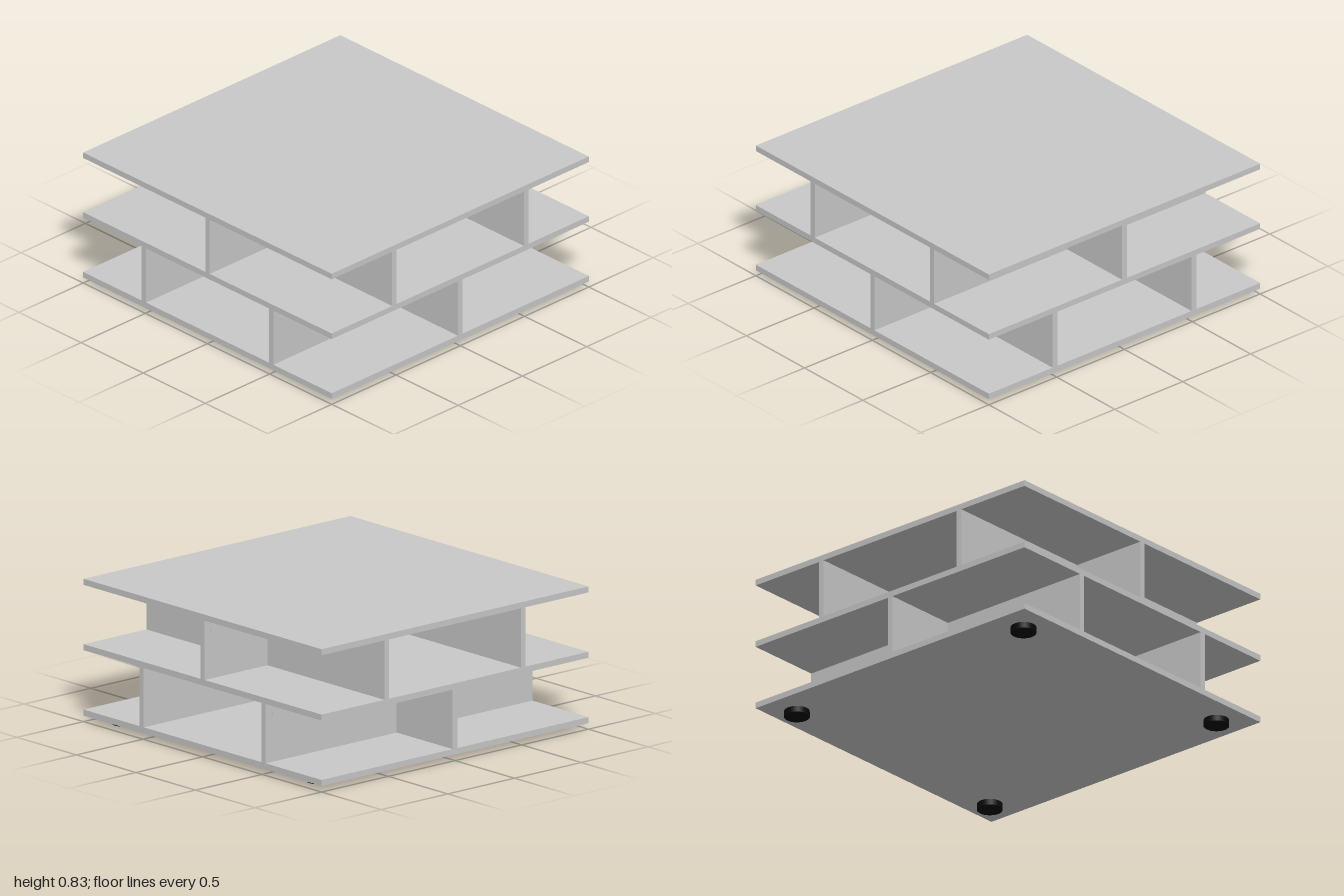
import * as THREE from 'three';

const T = 0.035;        // board thickness
const TIER = 0.344;     // clear height between shelves
const OFFSET = 0.512;   // position of the paired dividers
const LENGTH = 1 - T / 2;

export function createModel() {
  const group = new THREE.Group();
  const board = new THREE.MeshStandardMaterial({ color: 0xc8c8c8 });
  board.name = 'light grey board';
  const rubber = new THREE.MeshStandardMaterial({ color: 0x0a0a0a });
  rubber.name = 'black foot';

  const box = (parent, name, size, pos) => {
    const mesh = new THREE.Mesh(new THREE.BoxGeometry(...size), board);
    mesh.name = name;
    mesh.position.set(...pos);
    parent.add(mesh);
    return mesh;
  };

  // three square shelves
  ['bottomShelf', 'middleShelf', 'topShelf'].forEach((name, i) =>
    box(group, name, [2, T, 2], [0, T * 1.5 + i * (TIER + T), 0]));

  // tier of upright dividers: a split centre wall along z, crossed by pairs along x
  const addTier = (name, y, alongX) => {
    const tier = new THREE.Group();
    tier.name = name;
    tier.position.y = y + TIER / 2;
    for (const s of [-1, 1]) {
      const mid = s * (1 + T / 2) / 2;
      box(tier, 'centreDivider', alongX ? [LENGTH, TIER, T] : [T, TIER, LENGTH],
        alongX ? [mid, 0, 0] : [0, 0, mid]);
      for (const side of [-1, 1]) {
        box(tier, 'sideDivider', alongX ? [T, TIER, LENGTH] : [LENGTH, TIER, T],
          alongX ? [side * OFFSET, 0, mid] : [mid, 0, side * OFFSET]);
      }
      // tiny cross-shaped fittings near the top corners of one divider
      const x = s * ((alongX ? OFFSET : 0) + T / 2 + 0.002);
      for (const z of [0.08, 0.945]) {
        box(tier, 'fittingBar', [0.004, 0.006, 0.022], [x, 0.106, s * z]);
        box(tier, 'fittingPost', [0.004, 0.022, 0.006], [x, 0.106, s * z]);
      }
    }
    group.add(tier);
  };
  addTier('lowerDividers', 2 * T, true);
  addTier('upperDividers', 3 * T + TIER, false);

  // round feet
  for (const x of [-0.818, 0.818]) {
    for (const z of [-0.853, 0.833]) {
      const foot = new THREE.Mesh(new THREE.CylinderGeometry(0.072, 0.072, T, 32), rubber);
      foot.name = 'foot';
      foot.position.set(x, T / 2, z);
      group.add(foot);
    }
  }
  return group;
}
